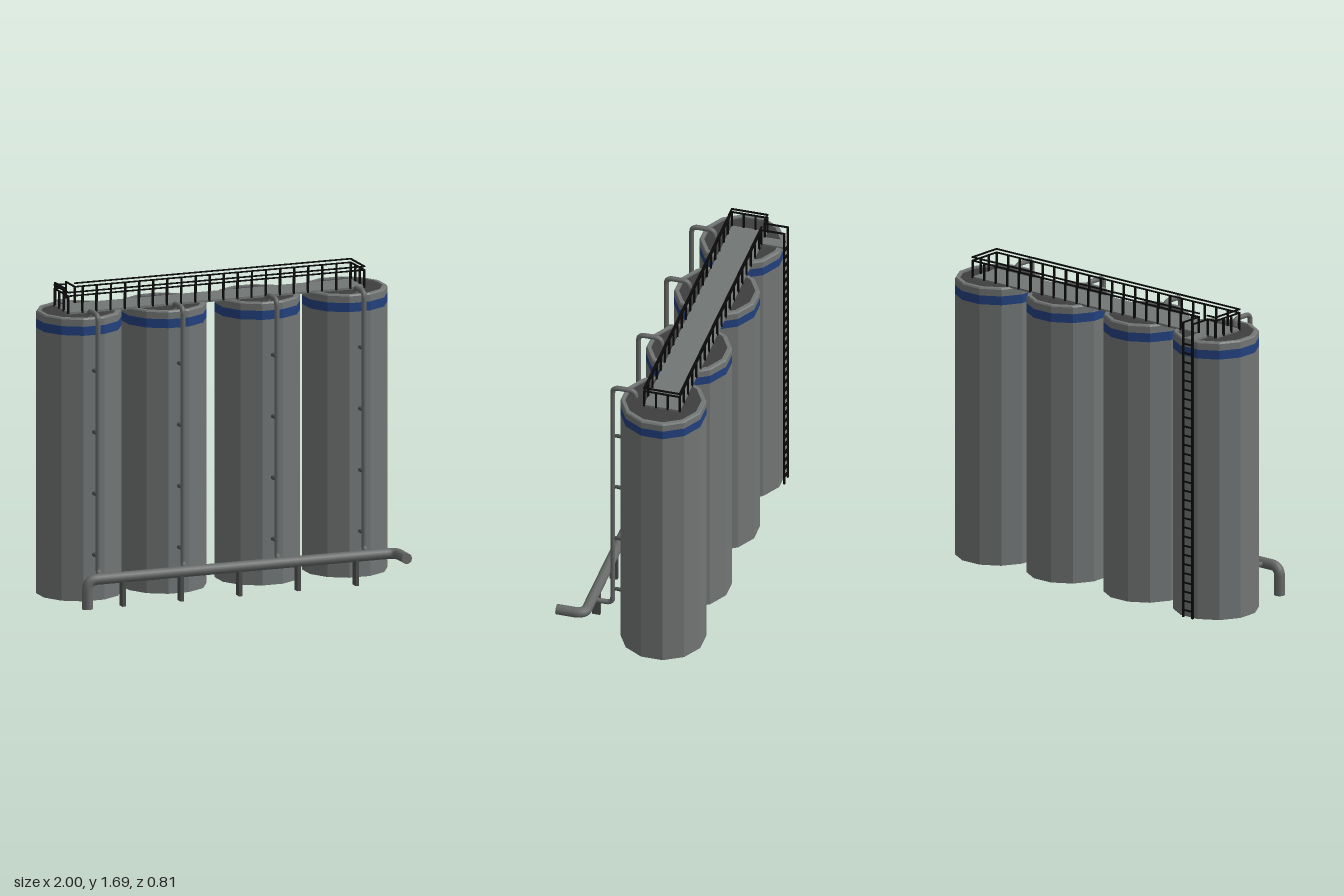
import * as THREE from 'three';

const mat = (name, color, extra = {}) => {
  const m = new THREE.MeshStandardMaterial({ color, ...extra });
  m.name = name;
  return m;
};

export function createModel() {
  const steel = mat('tank grey', 0x727675, { flatShading: true });
  const pipeGrey = mat('pipe grey', 0x676a69);
  const bracketGrey = mat('bracket grey', 0x4c4e4e);
  const roofGrey = mat('roof dark grey', 0x3e3e3e);
  const blue = mat('band blue', 0x22417f, { flatShading: true });
  const black = mat('railing black', 0x090909);

  const model = new THREE.Group();
  model.name = 'siloBattery';

  const add = (parent, name, geo, material, x = 0, y = 0, z = 0) => {
    const mesh = new THREE.Mesh(geo, material);
    mesh.name = name;
    mesh.position.set(x, y, z);
    parent.add(mesh);
    return mesh;
  };
  const group = (name) => {
    const g = new THREE.Group();
    g.name = name;
    model.add(g);
    return g;
  };
  const box = (parent, name, material, w, h, d, x, y, z) =>
    add(parent, name, new THREE.BoxGeometry(w, h, d), material, x, y, z);

  // Twelve-sided ring from a profile of [radius, height], flats facing the axes
  const lathe = (points) => new THREE.LatheGeometry(
    points.map(([r, y]) => new THREE.Vector2(r, y)), 12, Math.PI / 12);

  // Tube along straight runs joined by rounded corners
  const pipe = (points, radius, bend, segments) => {
    const p = points.map((q) => new THREE.Vector3(...q));
    const path = new THREE.CurvePath();
    let from = p[0];
    for (let i = 1; i < p.length - 1; i++) {
      const a = p[i].clone().add(p[i - 1].clone().sub(p[i]).setLength(bend));
      const b = p[i].clone().add(p[i + 1].clone().sub(p[i]).setLength(bend));
      path.add(new THREE.LineCurve3(from, a));
      path.add(new THREE.QuadraticBezierCurve3(a, p[i], b));
      from = b;
    }
    path.add(new THREE.LineCurve3(from, p[p.length - 1]));
    return new THREE.TubeGeometry(path, segments, radius, 10);
  };

  // Tanks, each with a blue band, dark roof, riser pipe and wall brackets
  const R = 0.233, tankZ = -0.155, H = 1.57;
  for (const x of [-0.776, -0.281, 0.266, 0.774]) {
    const tank = group('tank');
    tank.position.x = x;
    add(tank, 'tankWall', lathe([[0, 0], [R, 0], [R, 1.475]]), steel, 0, 0, tankZ);
    add(tank, 'blueBand', lathe([[R, 1.475], [R, 1.525]]), blue, 0, 0, tankZ);
    add(tank, 'tankRim', lathe([[R, 1.525], [R, 1.562], [R - 0.006, H], [R - 0.026, H], [R - 0.026, 1.555]]),
      steel, 0, 0, tankZ);
    add(tank, 'tankRoof', lathe([[R - 0.026, 1.56], [0, 1.56]]), roofGrey, 0, 0, tankZ);
    add(tank, 'riserPipe', pipe([
      [0, 0.16, 0.24], [0, 0.16, 0.13], [0, 1.597, 0.13], [0, 1.597, 0], [0, 1.555, 0],
    ], 0.014, 0.035, 140), pipeGrey);
    for (const y of [0.256, 0.596, 0.937, 1.278]) {
      const arm = add(tank, 'pipeBracket', new THREE.CylinderGeometry(0.009, 0.012, 0.06, 8),
        bracketGrey, 0, y, 0.095);
      arm.rotation.x = Math.PI / 2;
    }
  }

  // Main pipe: turned down at one end and forward at the other
  const manifold = group('mainPipe');
  const pr = 0.03, pz = 0.248, py = 0.16;
  add(manifold, 'mainPipeTube', pipe([
    [-0.885, 0, pz], [-0.885, py, pz], [0.915, py, pz], [0.915, py, 0.405],
  ], pr, 0.055, 160), pipeGrey);
  add(manifold, 'pipeEnd', new THREE.CircleGeometry(pr, 10), pipeGrey, -0.885, 0, pz)
    .rotation.x = Math.PI / 2;
  add(manifold, 'pipeEnd', new THREE.CircleGeometry(pr, 10), pipeGrey, 0.915, py, 0.405);
  for (let i = -2; i <= 2; i++) {
    box(manifold, 'pipeSupport', bracketGrey, 0.02, 0.14, 0.045, i * 0.34, 0.07, pz);
  }

  // Walkway across the tank tops, with a short landing towards the ladder
  const walkway = group('walkway');
  const x0 = -0.87, x1 = 0.855, zF = -0.07, zB = -0.27, midX = (x0 + x1) / 2, midZ = (zF + zB) / 2;
  const lx0 = -0.816, lx1 = -0.752, ladderZ = -0.399, t = 0.009;
  box(walkway, 'walkwayDeck', steel, x1 - x0, 0.012, zF - zB, midX, 1.572, midZ);
  box(walkway, 'ladderLanding', steel, lx1 - lx0, 0.012, 0.12, (lx0 + lx1) / 2, 1.572, -0.33);

  // Railing: two close rails on posts, open at the landing
  const railing = group('railing');
  const railX = (a, b, y, z) => box(railing, 'rail', black, b - a + t, t * 0.8, t, (a + b) / 2, y, z);
  const railZ = (a, b, y, x) => box(railing, 'rail', black, t, t * 0.8, b - a + t, x, y, (a + b) / 2);
  const post = (x, z) => box(railing, 'railPost', black, 0.01, 0.1, 0.01, x, 1.62, z);
  for (const y of [1.668, 1.688]) {
    railX(x0, x1, y, zF);
    railX(x0, lx0, y, zB);
    railX(lx1, x1, y, zB);
    railZ(zB, zF, y, x0);
    railZ(zB, zF, y, x1);
  }
  const n = 21;
  for (let i = 0; i <= n; i++) {
    const x = x0 + (x1 - x0) * i / n;
    post(x, zF);
    if (x < lx0 || x > lx1) post(x, zB);
  }
  for (const x of [x0, x1]) for (const z of [-0.137, -0.203]) post(x, z);
  for (const x of [lx0, lx1]) {
    post(x, zB);
    railZ(ladderZ, zB, 1.668, x);
  }

  // Ladder up the back of the end tank
  const ladder = group('ladder');
  for (const x of [lx0, lx1]) box(ladder, 'ladderSide', black, 0.01, 1.67, 0.01, x, 0.835, ladderZ);
  for (let i = 0; i < 30; i++) {
    box(ladder, 'ladderRung', black, lx1 - lx0, 0.008, 0.008, (lx0 + lx1) / 2, 0.04 + i * 0.052, ladderZ);
  }
  return model;
}
